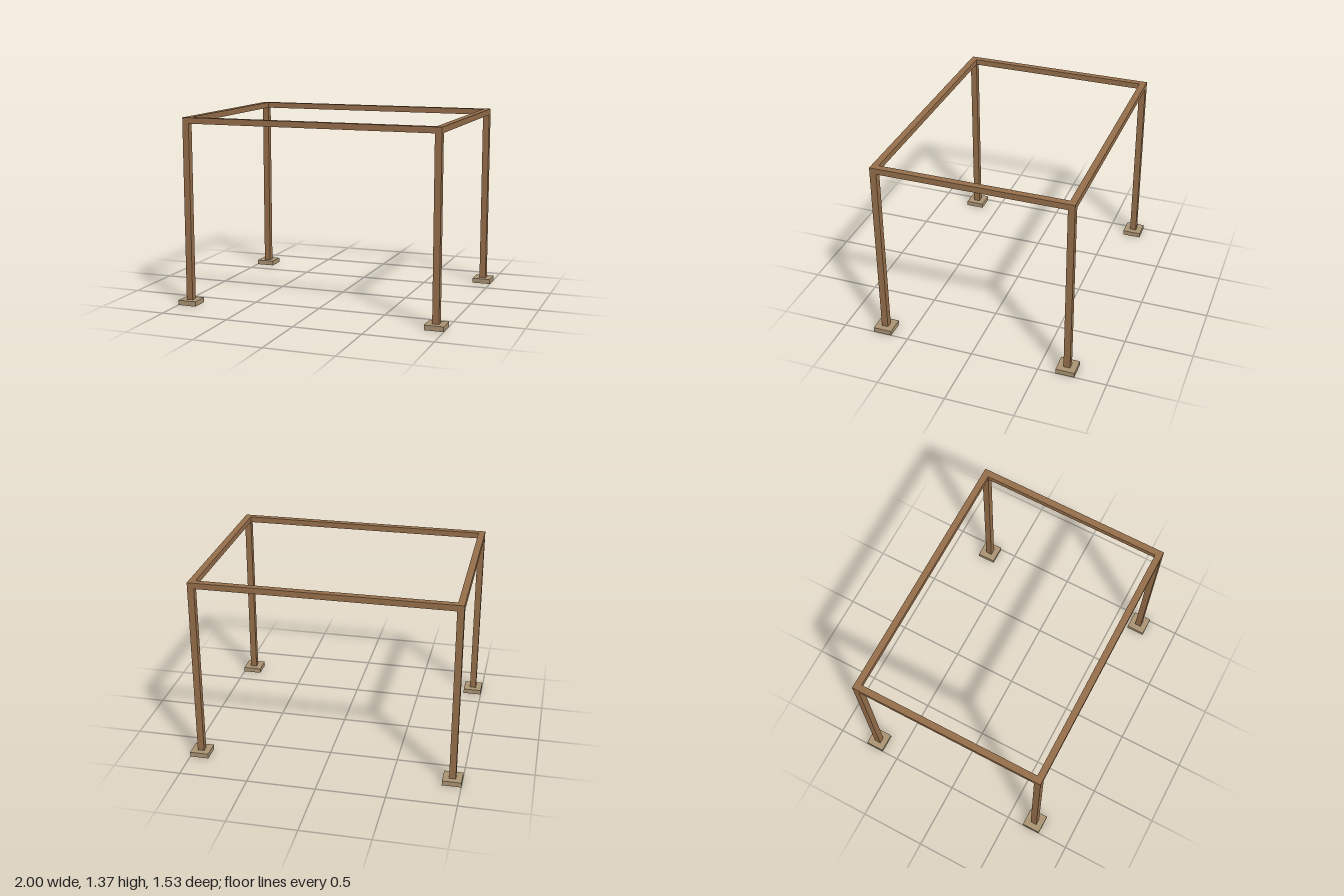
import * as THREE from 'three';

const X = 0.931, Z = 0.698;       // post centres
const W = 0.048;                  // timber width
const TOP = 1.372, BEAM = 0.043;  // overall height, beam depth
const PAD = 0.138, PAD_H = 0.036;

// Flat rectangular ring lying on y = 0, with a rectangular opening
function ring(w, d, innerW, innerD, height) {
  const rect = (path, a, b) => path
    .moveTo(-a / 2, -b / 2).lineTo(a / 2, -b / 2)
    .lineTo(a / 2, b / 2).lineTo(-a / 2, b / 2).closePath();
  const shape = rect(new THREE.Shape(), w, d);
  shape.holes.push(rect(new THREE.Path(), innerW, innerD));
  return new THREE.ExtrudeGeometry(shape, { depth: height, bevelEnabled: false })
    .rotateX(-Math.PI / 2);
}

export function createModel() {
  const model = new THREE.Group();
  model.name = 'pergolaFrame';
  const wood = new THREE.MeshStandardMaterial({ color: 0x966f4b });
  const stone = new THREE.MeshStandardMaterial({ color: 0xaa9373 });

  const add = (name, geometry, material, x, y, z) => {
    const mesh = new THREE.Mesh(geometry, material);
    mesh.name = name;
    mesh.position.set(x, y, z);
    model.add(mesh);
  };

  // Four posts, each set through a square footing
  const postH = TOP - BEAM;
  const post = new THREE.BoxGeometry(W, postH, W);
  const footing = ring(PAD, PAD, W, W, PAD_H);
  for (const [sideName, sx] of [['Left', 1], ['Right', -1]]) {
    for (const [endName, sz] of [['front', 1], ['back', -1]]) {
      add(`${endName}${sideName}Post`, post, wood, sx * X, postH / 2, sz * Z);
      add(`${endName}${sideName}Footing`, footing, stone, sx * X, 0, sz * Z);
    }
  }

  // Rectangle of beams resting on the posts
  add('topBeams', ring(2 * X + W, 2 * Z + W, 2 * X - W, 2 * Z - W, BEAM), wood, 0, postH, 0);

  return model;
}
